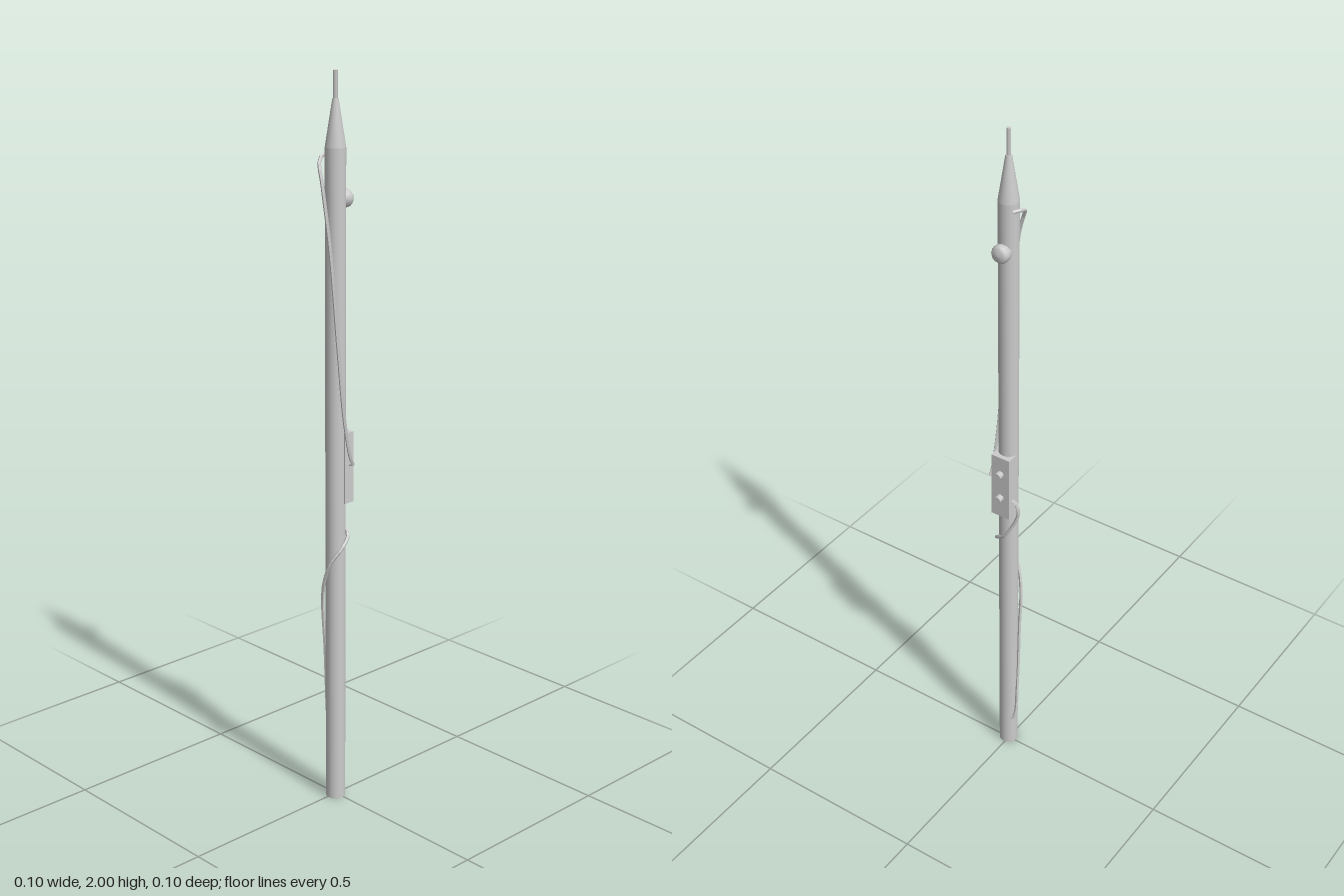
import * as THREE from 'three';

const CX = -0.005, CZ = 0.004; // pole axis

export function createModel() {
  const model = new THREE.Group();
  const mat = new THREE.MeshStandardMaterial({ color: 0xcccccc });
  const flat = new THREE.MeshStandardMaterial({ color: 0xcccccc, flatShading: true });

  const add = (name, geo, x, y, z, material = mat) => {
    const mesh = new THREE.Mesh(geo, material);
    mesh.name = name;
    mesh.position.set(x, y, z);
    model.add(mesh);
    return mesh;
  };

  // Pole, tapered tip and thin rod
  add('pole', new THREE.CylinderGeometry(0.027, 0.027, 1.81, 16), CX, 0.905, CZ);
  add('taperedTip', new THREE.CylinderGeometry(0.008, 0.027, 0.12, 16), CX, 1.87, CZ);
  add('antennaRod', new THREE.CylinderGeometry(0.006, 0.006, 0.08, 6), CX, 1.96, CZ);

  // Rounded lamp on the side, flattened on its outer face
  const lampProfile = [
    [0.0, -0.03], [0.013, -0.022], [0.022, -0.01], [0.025, 0.002],
    [0.023, 0.012], [0.017, 0.019], [0.0, 0.021],
  ].map(([r, h]) => new THREE.Vector2(r, h));
  add('lamp', new THREE.LatheGeometry(lampProfile, 12), 0.024, 1.678, CZ).rotation.z = -Math.PI / 2;

  // Control box with two buttons
  add('controlBox', new THREE.BoxGeometry(0.032, 0.195, 0.057), 0.018, 0.966, CZ);
  for (const y of [0.932, 1.01]) {
    add('button', new THREE.CylinderGeometry(0.011, 0.011, 0.022, 8), 0.039, y, CZ)
      .rotation.z = -Math.PI / 2;
  }

  // Loose cables winding around the pole
  const cable = (name, points, segments) => {
    const curve = new THREE.CatmullRomCurve3(points.map((p) => new THREE.Vector3(...p)));
    add(name, new THREE.TubeGeometry(curve, segments, 0.005, 5), 0, 0, 0, flat);
  };
  cable('upperCable', [
    [0.01, 1.79, -0.018], [-0.012, 1.79, -0.03], [-0.036, 1.775, -0.022],
    [-0.044, 1.72, -0.003], [-0.037, 1.55, 0.019], [-0.024, 1.3, 0.034],
    [-0.008, 1.1, 0.042], [0.01, 1.0, 0.045], [0.021, 0.975, 0.044], [0.021, 0.975, 0.028],
  ], 44);
  cable('lowerCable', [
    [0.02, 0.925, -0.022], [0.02, 0.92, -0.036], [0.02, 0.89, -0.045], [0.024, 0.845, -0.03],
    [0.029, 0.8, -0.003], [0.018, 0.775, 0.028], [-0.012, 0.745, 0.035],
    [-0.034, 0.71, 0.02], [-0.037, 0.65, -0.006], [-0.028, 0.58, -0.022],
    [-0.018, 0.45, -0.024], [-0.008, 0.25, -0.025], [0.005, 0.11, -0.023], [0.011, 0.095, -0.012],
  ], 56);

  return model;
}
